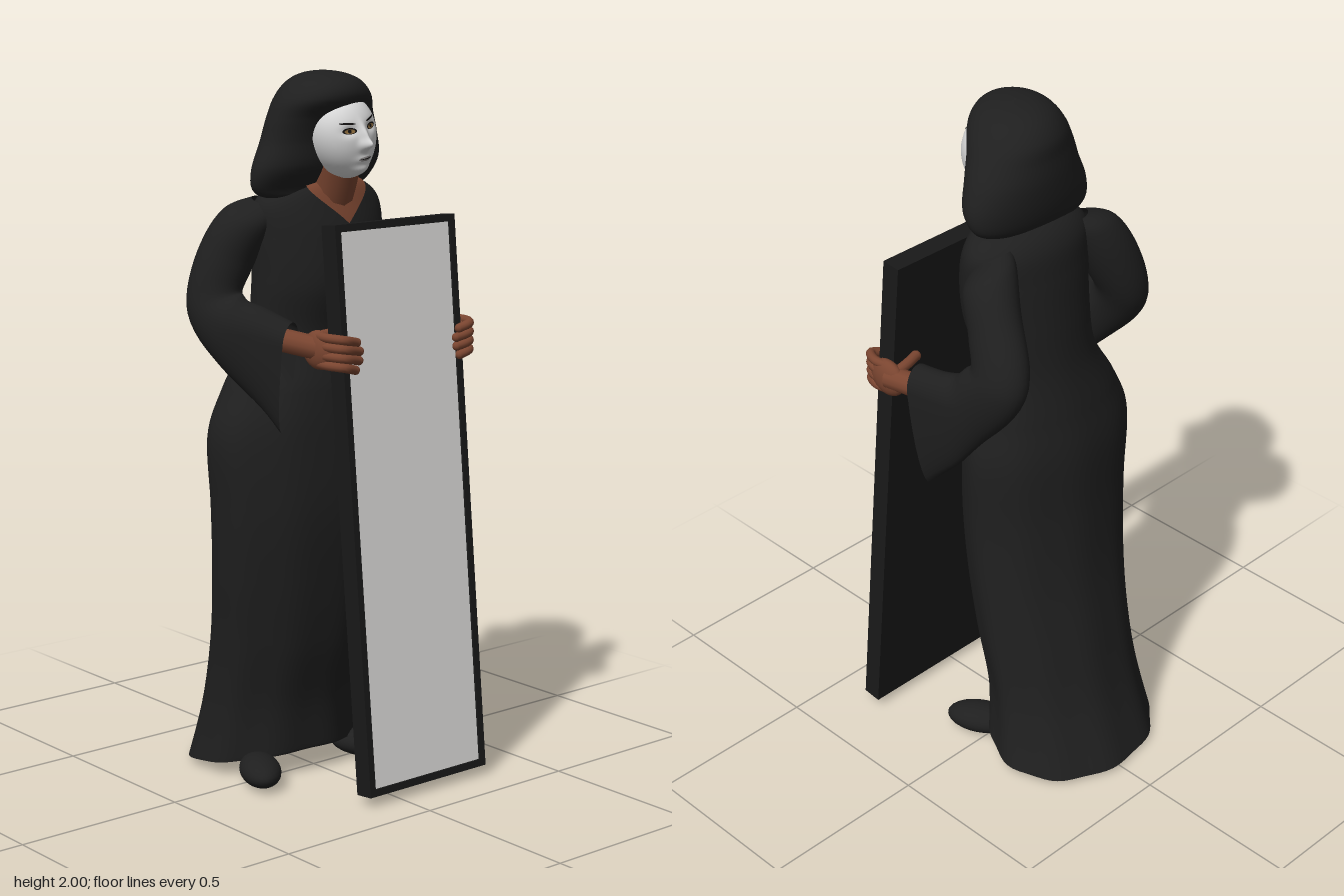
import * as THREE from 'three';
import { ParametricGeometry } from 'three/addons/geometries/ParametricGeometry.js';

const material = (name, color, side = THREE.FrontSide) => {
  const m = new THREE.MeshStandardMaterial({ color, side });
  m.name = name;
  return m;
};

// Smooth interpolation through rows of numbers, t from 0 to 1
function spline(rows, t) {
  const n = rows.length - 1;
  const i = Math.min(Math.floor(t * n), n - 1);
  const k = t * n - i;
  const [a, b, c, d] = [Math.max(i - 1, 0), i, i + 1, Math.min(i + 2, n)].map((j) => rows[j]);
  return b.map((p, j) => p + 0.5 * k * (c[j] - a[j]
    + k * (2 * a[j] - 5 * p + 4 * c[j] - d[j] + k * (3 * (p - c[j]) + d[j] - a[j]))));
}

// Robe sections from hem to neck: y, centre x, centre z, half width, half depth
const ROBE = [
  [0.012, -0.015, -0.165, 0.265, 0.217], [0.2, -0.025, -0.12, 0.243, 0.19],
  [0.4, -0.03, -0.07, 0.247, 0.19], [0.6, -0.04, -0.033, 0.26, 0.187],
  [0.8, -0.05, -0.013, 0.27, 0.187], [1.0, -0.055, -0.013, 0.278, 0.178],
  [1.13, -0.045, -0.01, 0.24, 0.16], [1.27, -0.02, -0.01, 0.185, 0.135],
  [1.42, -0.005, 0.015, 0.195, 0.148], [1.55, 0, 0.017, 0.205, 0.138],
  [1.64, 0, 0.013, 0.2, 0.118], [1.69, 0, 0.025, 0.135, 0.088],
  [1.705, 0, 0.05, 0.04, 0.04],
];

// Hood sections from the underside to the crown
const HOOD = [
  [1.665, -0.03, 0.03, 0.05, 0.025], [1.67, -0.03, 0.025, 0.155, 0.06],
  [1.695, -0.027, 0.018, 0.205, 0.077], [1.75, -0.02, 0.03, 0.218, 0.103],
  [1.82, -0.015, 0.038, 0.195, 0.115], [1.88, -0.022, 0.055, 0.172, 0.126],
  [1.93, -0.028, 0.078, 0.147, 0.142], [1.97, -0.03, 0.087, 0.11, 0.12],
  [1.992, -0.03, 0.085, 0.06, 0.07], [2.0, -0.03, 0.085, 0.0003, 0.0003],
];

function ringPoint(rows, t, a, target, grow = 1) {
  const [y, cx, cz, rx, rz] = spline(rows, t);
  return target.set(cx + Math.sin(a) * rx * grow, y, cz + Math.cos(a) * rz * grow);
}

// Robe surface with soft folds and a hem lifted over the feet
function robePoint(t, a, target, grow = 1) {
  const fold = 0.018 * (1 - t) ** 2 * Math.sin(9 * a);
  ringPoint(ROBE, t, a, target, grow + fold);
  target.y += 0.06 * (1 - t) ** 16 * (0.5 + 0.5 * Math.cos(a)) ** 2;
}

// Sleeve rows: x, y, z, half width, reach up, reach down, pitch
const LEFT_SLEEVE = [
  [0.15, 1.64, -0.02, 0.05, 0.05, 0.05, 2.1], [0.195, 1.6, -0.05, 0.078, 0.08, 0.076, 2.1],
  [0.237, 1.5, -0.11, 0.072, 0.08, 0.08, 2.1], [0.278, 1.385, -0.166, 0.062, 0.085, 0.09, 1.4],
  [0.3, 1.29, -0.08, 0.055, 0.08, 0.125, 0.4], [0.315, 1.27, 0, 0.05, 0.07, 0.225, 0.1],
  [0.32, 1.26, 0.1, 0.05, 0.065, 0.305, 0.1],
];
const RIGHT_SLEEVE = [
  [-0.15, 1.64, -0.01, 0.05, 0.05, 0.05, 1.9], [-0.205, 1.6, -0.03, 0.083, 0.075, 0.075, 1.9],
  [-0.258, 1.5, -0.06, 0.086, 0.078, 0.078, 1.9], [-0.298, 1.385, -0.065, 0.075, 0.08, 0.08, 1.3],
  [-0.293, 1.32, 0.01, 0.065, 0.08, 0.115, 0.4], [-0.25, 1.3, 0.085, 0.06, 0.07, 0.19, 0.1],
  [-0.21, 1.28, 0.155, 0.05, 0.055, 0.255, 0.1],
];

function sleeveGeometry(rows, yaw) {
  return new ParametricGeometry((u, v, target) => {
    const [x, y, z, side, up, down, pitch] = spline(rows, v);
    const s = Math.sin(u * 2 * Math.PI) * side;
    const c = Math.cos(u * 2 * Math.PI);
    const h = c * (c > 0 ? up : down);
    const forward = h * Math.sin(pitch);
    target.set(x - s * Math.cos(yaw) + forward * Math.sin(yaw), y + h * Math.cos(pitch),
      z + s * Math.sin(yaw) + forward * Math.cos(yaw));
  }, 32, 40);
}

// Mask relief: a flattened dome, narrower at the chin, with nose, brow and eye hollows
const FACE_W = 0.093, FACE_H = 0.116;
const faceWidth = (y) => FACE_W * (1 + 0.14 * y / FACE_H);
const bump = (x, y, cx, cy, sx, sy) => Math.exp(-(((x - cx) / sx) ** 2) - ((y - cy) / sy) ** 2);
function faceZ(x, y) {
  const r2 = Math.min(1, (x / faceWidth(y)) ** 2 + (y / FACE_H) ** 2);
  return 0.103 * (1 - r2) ** 0.42
    + 0.025 * bump(x, y, 0, -0.018, 0.015, 0.015) + 0.015 * bump(x, y, 0, 0.006, 0.011, 0.028)
    - 0.008 * (bump(x, y, 0.036, 0.026, 0.02, 0.013) + bump(x, y, -0.036, 0.026, 0.02, 0.013))
    + 0.007 * bump(x, y, 0, -0.058, 0.025, 0.012) + 0.016 * bump(x, y, 0, -0.09, 0.03, 0.018);
}

export function createModel() {
  const cloth = material('black cloth', 0x1f1f1f, THREE.DoubleSide);
  const frameBlack = material('frame black', 0x191919);
  const glass = material('mirror silver', 0xe2e1df);
  const skin = material('brown skin', 0x7a4530, THREE.DoubleSide);
  const white = material('mask white', 0xdadada, THREE.DoubleSide);
  const dark = material('eye black', 0x141212, THREE.DoubleSide);
  const gold = material('eye gold', 0x8a6a3c, THREE.DoubleSide);
  const grey = material('lip grey', 0x8f8b8a, THREE.DoubleSide);

  const model = new THREE.Group();
  const add = (parent, name, geometry, mat, x = 0, y = 0, z = 0) => {
    const mesh = new THREE.Mesh(geometry, mat);
    mesh.name = name;
    mesh.position.set(x, y, z);
    parent.add(mesh);
    return mesh;
  };
  const group = (name) => {
    const g = new THREE.Group();
    g.name = name;
    model.add(g);
    return g;
  };
  const tube = (points, r) => new THREE.TubeGeometry(
    new THREE.CatmullRomCurve3(points.map((p) => new THREE.Vector3(...p))), 16, r, 12);

  // Robe, bell sleeves and shoes
  add(model, 'robe', new ParametricGeometry((u, v, p) => robePoint(v, u * 2 * Math.PI, p), 72, 80), cloth);
  add(model, 'leftSleeve', sleeveGeometry(LEFT_SLEEVE, 0.1), cloth);
  add(model, 'rightSleeve', sleeveGeometry(RIGHT_SLEEVE, 0.46), cloth);
  for (const [name, x, z, turn] of [['rightShoe', -0.225, 0.035, -0.5], ['leftShoe', 0.165, 0.035, 0.5]]) {
    const shoe = add(model, name, new THREE.SphereGeometry(1, 24, 16), cloth, x, 0.042, z);
    shoe.scale.set(0.058, 0.042, 0.105);
    shoe.rotation.y = turn;
  }

  // V neckline following the robe surface, and the neck
  add(model, 'neckline', new ParametricGeometry((u, v, p) => {
    const t = (9.3 + 2.5 * v) / (ROBE.length - 1);
    robePoint(t, (u - 0.5) * 2.4 * v, p, 1.03);
    p.y += 0.005;
  }, 24, 24), skin);
  add(model, 'neck', tube([[-0.005, 1.62, 0.06], [-0.008, 1.7, 0.095], [-0.015, 1.78, 0.125]], 0.066), skin);

  // Hood, skewed with the turned head and hanging deeper on one side
  add(model, 'hood', new ParametricGeometry((u, v, p) => {
    ringPoint(HOOD, v, u * 2 * Math.PI, p);
    p.y += 0.08 * p.x * (1 - v);
    p.x -= 0.2 * (p.z - 0.05);
  }, 48, 40), cloth);

  // Mask with eyes, brows and lips laid on its surface
  const face = group('mask');
  face.position.set(-0.027, 1.825, 0.142);
  face.rotation.z = 0.17;
  add(face, 'maskFace', new ParametricGeometry((u, v, p) => {
    const r = Math.sin((1 - 0.999 * v) * Math.PI / 2);
    const y = FACE_H * r * Math.sin(u * 2 * Math.PI);
    const x = faceWidth(y) * r * Math.cos(u * 2 * Math.PI);
    p.set(x, y, faceZ(x, y));
  }, 64, 44), white);
  const decal = (name, cx, cy, rx, ry, angle, mat, lift = 0.002) => {
    const geometry = new THREE.RingGeometry(0.01, 1, 24, 4);
    const pos = geometry.attributes.position;
    for (let i = 0; i < pos.count; i++) {
      const a = pos.getX(i) * rx, b = pos.getY(i) * ry;
      const x = cx + a * Math.cos(angle) - b * Math.sin(angle);
      const y = cy + a * Math.sin(angle) + b * Math.cos(angle);
      pos.setXYZ(i, x, y, faceZ(x, y) + lift);
    }
    geometry.computeVertexNormals();
    add(face, name, geometry, mat);
  };
  for (const [side, s] of [['left', 1], ['right', -1]]) {
    decal(side + 'EyeRim', s * 0.037, 0.026, 0.019, 0.0085, s * 0.1, dark);
    decal(side + 'Eye', s * 0.037, 0.025, 0.014, 0.006, s * 0.1, gold, 0.003);
    decal(side + 'Pupil', s * 0.037, 0.025, 0.005, 0.005, 0, dark, 0.004);
    decal(side + 'Brow', s * 0.039, 0.046, 0.021, 0.0028, s * 0.18, dark);
  }
  decal('lips', 0, -0.056, 0.021, 0.006, 0, grey);
  decal('lipLine', 0, -0.056, 0.02, 0.0013, 0, dark, 0.003);

  // Leaning mirror: back board, raised frame and glass
  const W = 0.435, H = 1.575, BAR = 0.02;
  const mirror = group('mirror');
  mirror.position.set(0.1025, 0.81, 0.278);
  mirror.rotation.x = -0.1;
  add(mirror, 'backBoard', new THREE.BoxGeometry(W, H, 0.045), frameBlack, 0, 0, -0.006);
  add(mirror, 'glass', new THREE.BoxGeometry(W - 2 * BAR, H - 2 * BAR, 0.006), glass, 0, 0, 0.019);
  for (const s of [-1, 1]) {
    add(mirror, 'frameSide', new THREE.BoxGeometry(BAR, H, 0.057), frameBlack, s * (W - BAR) / 2, 0, 0);
    add(mirror, 'frameEnd', new THREE.BoxGeometry(W, BAR, 0.057), frameBlack, 0, s * (H - BAR) / 2, 0);
  }

  // Hands gripping the frame; s points outwards from the frame edge
  const hand = (name, edge, s, wrist, reaches) => {
    const g = group(name);
    const at = (d, y, z) => [edge + s * d, y, z];
    add(g, 'wrist', tube([wrist, at(0.028, 1.262, 0.19)], 0.033), skin);
    add(g, 'palm', new THREE.SphereGeometry(1, 20, 14), skin, ...at(0.027, 1.258, 0.195)).scale.set(0.027, 0.054, 0.062);
    const finger = (label, points, r) => {
      add(g, label, tube(points, r), skin);
      add(g, label + 'Tip', new THREE.SphereGeometry(r, 12, 10), skin, ...points[points.length - 1]);
    };
    reaches.forEach((reach, k) => {
      const y = 1.296 - k * 0.025;
      finger('finger', [at(0.03, y, 0.19), at(0.034, y, 0.24), at(0.012, y - 0.003, 0.28),
        at(-reach, y - 0.014, 0.276)], 0.013);
    });
    finger('thumb', [at(0.025, 1.285, 0.165), at(-0.02, 1.292, 0.168), at(-0.06, 1.295, 0.178)], 0.015);
  };
  hand('leftHand', 0.32, 1, [0.32, 1.265, 0.05], [0.022, 0.032, 0.03, 0.018]);
  hand('rightHand', -0.115, -1, [-0.215, 1.285, 0.1], [0.036, 0.046, 0.044, 0.032]);

  return model;
}
